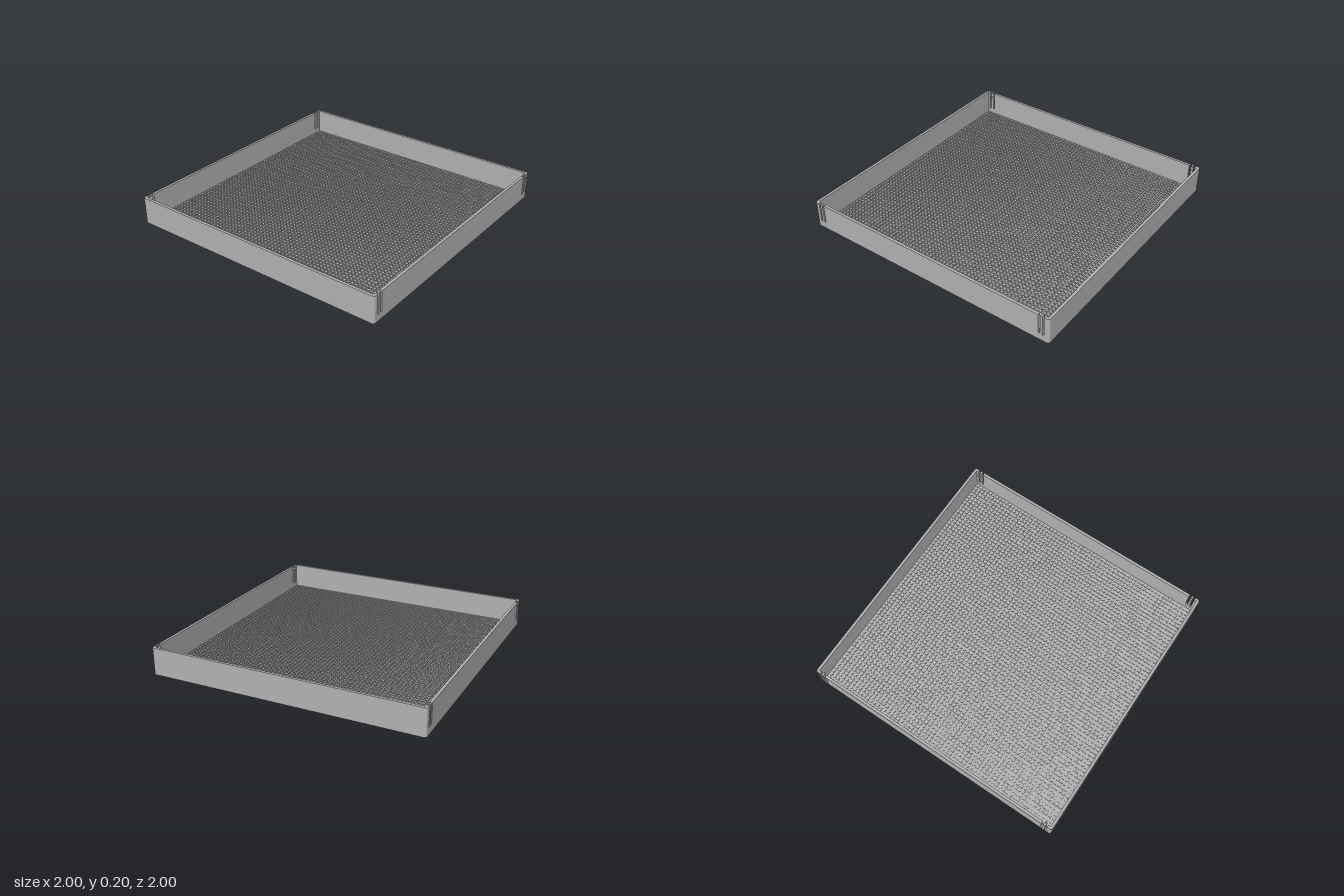
import * as THREE from 'three';
import { mergeGeometries } from 'three/addons/utils/BufferGeometryUtils.js';

const grey = new THREE.MeshStandardMaterial({ color: 0xb3b3b3 });
grey.name = 'grey plastic';

const H = 0.2, FLOOR = 0.012, SLOT_Y = 0.05, T = 0.02, R = 0.018;
const SLOT_A = 0.962, CLIP_A = 0.95, CLIP_B = 0.932, SLOT_B = 0.918;

// Square outline with rounded corners
function roundedSquare(h, r, Type = THREE.Shape) {
  const s = new Type();
  s.moveTo(-h + r, -h);
  s.lineTo(h - r, -h);
  s.absarc(h - r, -h + r, r, -Math.PI / 2, 0);
  s.lineTo(h, h - r);
  s.absarc(h - r, h - r, r, 0, Math.PI / 2);
  s.lineTo(-h + r, h);
  s.absarc(-h + r, h - r, r, Math.PI / 2, Math.PI);
  s.lineTo(-h, -h + r);
  s.absarc(-h + r, -h + r, r, Math.PI, Math.PI * 1.5);
  return s;
}

// Extrude a plan shape upward from y0 to y1
function rise(shape, y0, y1) {
  const g = new THREE.ExtrudeGeometry(shape, { depth: y1 - y0, bevelEnabled: false, curveSegments: 6 });
  return g.rotateX(-Math.PI / 2).translate(0, y0, 0);
}

// Side wall plan that wraps round both corners up to the first slot
function sideWall() {
  const i = 1 - T, s = new THREE.Shape();
  s.moveTo(SLOT_A, -1);
  s.lineTo(1 - R, -1);
  s.absarc(1 - R, -1 + R, R, -Math.PI / 2, 0);
  s.lineTo(1, 1 - R);
  s.absarc(1 - R, 1 - R, R, 0, Math.PI / 2);
  s.lineTo(SLOT_A, 1);
  s.lineTo(SLOT_A, i);
  s.lineTo(i, i);
  s.lineTo(i, -i);
  s.lineTo(SLOT_A, -i);
  return s;
}

export function createModel() {
  const model = new THREE.Group();
  model.name = 'tray';
  const add = (name, geometry, parent = model) => {
    const m = new THREE.Mesh(geometry, grey);
    m.name = name;
    parent.add(m);
    return m;
  };

  // Floor and the unbroken lower wall
  add('floor', rise(roundedSquare(1, R), 0, FLOOR));
  const ring = roundedSquare(1, R);
  ring.holes.push(roundedSquare(1 - T, 0.004, THREE.Path));
  add('lowerWall', rise(ring, FLOOR, SLOT_Y));

  // Upper side walls
  const side = rise(sideWall(), SLOT_Y, H);
  add('leftWall', side);
  add('rightWall', side.clone().rotateY(Math.PI));

  // Front and back walls with slotted snap clips near each corner
  const h = H - SLOT_Y, midY = (H + SLOT_Y) / 2, clipX = (CLIP_A + CLIP_B) / 2;
  for (const z of [1, -1]) {
    const wall = new THREE.Group();
    wall.name = z > 0 ? 'frontWall' : 'backWall';
    model.add(wall);
    const zc = z * (1 - T / 2);
    add('wallPanel', new THREE.BoxGeometry(SLOT_B * 2, h, T).translate(0, midY, zc), wall);
    for (const x of [1, -1]) {
      add('clip', new THREE.BoxGeometry(CLIP_A - CLIP_B, h, T).translate(x * clipX, midY, zc), wall);
      add('clipBump', new THREE.SphereGeometry(0.011, 12, 8)
        .translate(x * clipX, H - 0.02, z * (1 - T)), wall);
    }
  }

  // Grid of small square studs over the floor
  const N = 64, pitch = 1.95 / N, stud = pitch * 0.64, studs = [];
  const top = 0.02;
  const block = new THREE.BoxGeometry(stud, top - FLOOR, stud);
  for (let i = 0; i < N; i++) {
    for (let j = 0; j < N; j++) {
      studs.push(block.clone().translate(
        (i - (N - 1) / 2) * pitch, (top + FLOOR) / 2, (j - (N - 1) / 2) * pitch));
    }
  }
  add('floorStuds', mergeGeometries(studs));

  return model;
}
